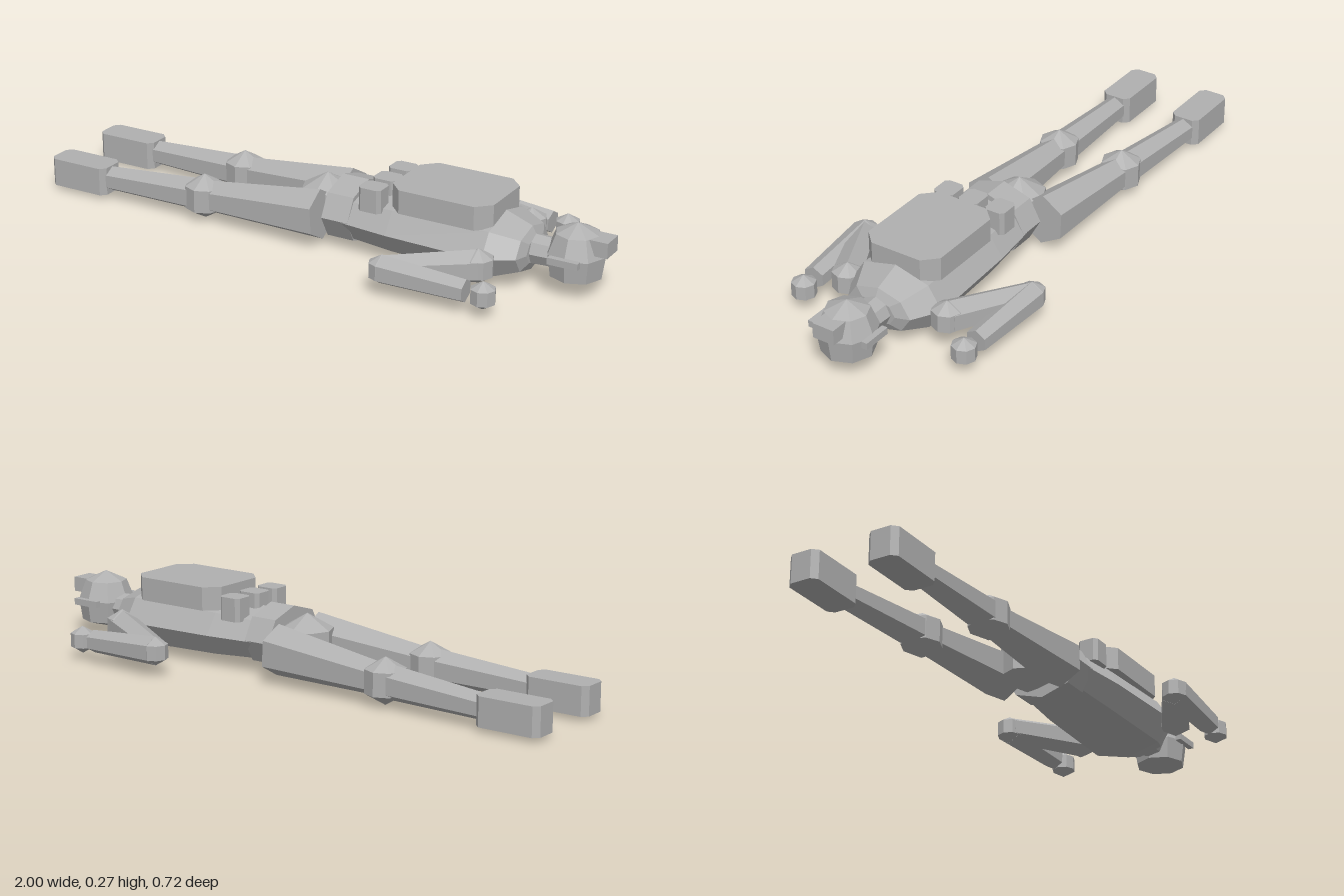
import * as THREE from 'three';

export function createModel() {
  const model = new THREE.Group();
  model.name = 'proneFigure';
  const grey = new THREE.MeshStandardMaterial({ color: 0xb0b0b0, flatShading: true });
  grey.name = 'grey';

  const add = (name, geometry, x = 0, y = 0, z = 0) => {
    const mesh = new THREE.Mesh(geometry, grey);
    mesh.name = name;
    mesh.position.set(x, y, z);
    model.add(mesh);
    return mesh;
  };
  const box = (name, x0, x1, y0, y1, z0, z1) =>
    add(name, new THREE.BoxGeometry(x1 - x0, y1 - y0, z1 - z0), (x0 + x1) / 2, (y0 + y1) / 2, (z0 + z1) / 2);
  const joint = (name, r, p) => add(name, new THREE.SphereGeometry(r, 8, 3), ...p);

  // Slab with corners cut off in plan
  const slab = (name, x0, x1, y0, y1, z0, z1, c) => {
    const s = new THREE.Shape([
      [x0 + c, z0], [x1 - c, z0], [x1, z0 + c], [x1, z1 - c],
      [x1 - c, z1], [x0 + c, z1], [x0, z1 - c], [x0, z0 + c],
    ].map(([x, z]) => new THREE.Vector2(x, -z)));
    const g = new THREE.ExtrudeGeometry(s, { depth: y1 - y0, bevelEnabled: false });
    g.rotateX(-Math.PI / 2);
    return add(name, g, 0, y0, 0);
  };

  // Six-sided tapered limb between two points, one edge facing up
  const limb = (name, a, b, ra, rb) => {
    const A = new THREE.Vector3(...a), B = new THREE.Vector3(...b);
    const dir = B.clone().sub(A), length = dir.length();
    dir.normalize();
    const up = new THREE.Vector3(0, 1, 0).addScaledVector(dir, -dir.y).normalize();
    const side = new THREE.Vector3().crossVectors(dir, up);
    const mesh = add(name, new THREE.CylinderGeometry(rb, ra, length, 6));
    mesh.quaternion.setFromRotationMatrix(new THREE.Matrix4().makeBasis(side, dir, up));
    mesh.position.copy(A.add(B).multiplyScalar(0.5));
  };

  // Eight-sided body section turned along x; profile is [half width, x]
  const turned = (name, profile, y, flat) => {
    const g = new THREE.LatheGeometry(profile.map(([r, x]) => new THREE.Vector2(r, x)), 8);
    g.rotateZ(-Math.PI / 2);
    g.scale(1, flat, 1);
    return add(name, g, 0, y, 0);
  };

  // Torso, belt, hips and neck
  turned('torso', [[0, 0.07], [0.13, 0.07], [0.155, 0.3], [0.168, 0.64], [0.115, 0.73], [0.07, 0.745], [0, 0.745]], 0.115, 0.63);
  turned('belt', [[0, 0.06], [0.138, 0.06], [0.138, 0.155], [0, 0.155]], 0.118, 0.75);
  joint('hips', 0.1, [-0.005, 0.11, -0.015]);
  turned('neck', [[0, 0.72], [0.055, 0.72], [0.05, 0.83], [0, 0.83]], 0.115, 0.9);

  // Head with brow block and ear pieces
  const headProfile = [[0, 0.036], [0.084, 0.062], [0.095, 0.135], [0.07, 0.2], [0, 0.232]];
  add('head', new THREE.LatheGeometry(headProfile.map(([r, y]) => new THREE.Vector2(r, y)), 8), 0.88, 0, 0);
  box('browBlock', 0.935, 0.995, 0.15, 0.2, -0.038, 0.038);

  // Backpack and row of pouches
  slab('backpack', 0.29, 0.64, 0.19, 0.268, -0.134, 0.134, 0.045);
  for (const z of [-0.097, 0.004, 0.097]) slab('pouch', 0.187, 0.267, 0.17, 0.248, z - 0.036, z + 0.036, 0.012);

  for (const s of [-1, 1]) {
    box('earPiece', 0.83, 0.93, 0.123, 0.145, s * 0.098 - 0.01, s * 0.098 + 0.01);

    // Arms folded back toward the head
    const shoulder = [0.64, 0.105, s * 0.186];
    const elbow = [0.38, 0.085, s * 0.317];
    const hand = [0.715, 0.07, s * 0.299];
    joint('shoulder', 0.057, shoulder);
    joint('elbow', 0.048, elbow);
    joint('hand', 0.046, hand);
    limb('upperArm', shoulder, elbow, 0.054, 0.045);
    limb('forearm', elbow, [0.66, 0.073, s * 0.304], 0.048, 0.038);
  }

  // Legs, slightly uneven in stance
  for (const [hipZ, kneeZ, bootZ] of [[0.085, 0.093, 0.1], [-0.125, -0.152, -0.178]]) {
    const knee = [-0.41, 0.08, kneeZ];
    limb('thigh', [0.03, 0.105, hipZ], knee, 0.085, 0.053);
    joint('knee', 0.077, knee);
    limb('shin', knee, [-0.8, 0.066, bootZ], 0.058, 0.042);
    slab('boot', -1, -0.78, 0.018, 0.113, bootZ - 0.052, bootZ + 0.052, 0.018);
  }
  return model;
}
